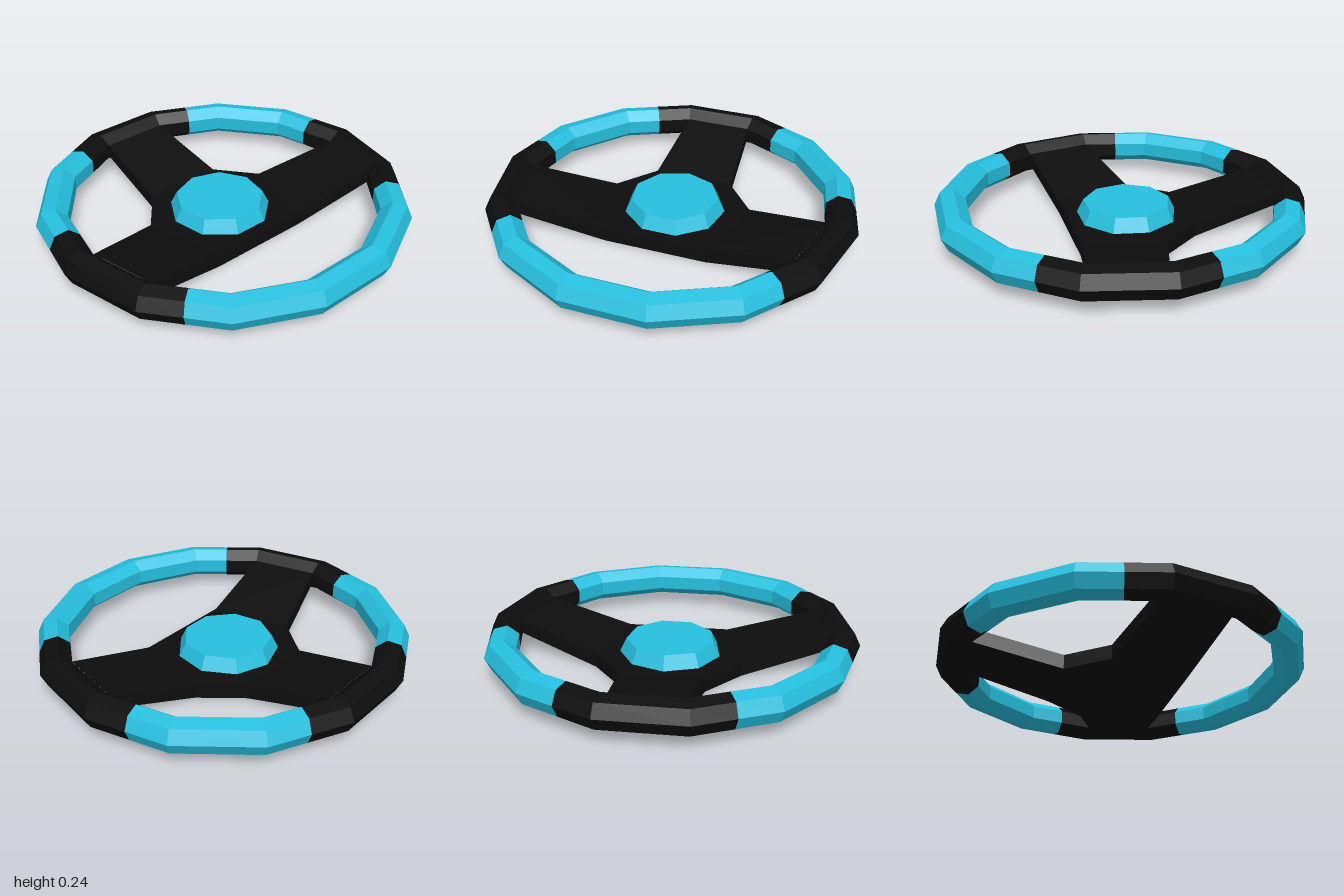
import * as THREE from 'three';

const black = new THREE.MeshStandardMaterial({ color: 0x0d0d0d, flatShading: true });
const teal = new THREE.MeshStandardMaterial({ color: 0x26bfde, flatShading: true });

const SIDES = 14, TUBE_SIDES = 7;
const RING_R = 0.9125, TUBE_R = 0.0875, RING_Y = 0.15;

// Mesh from convex faces, each a loop of points, counter-clockwise from outside
function facesMesh(name, faces, material) {
  const pos = [];
  for (const f of faces)
    for (let i = 1; i < f.length - 1; i++) pos.push(...f[0], ...f[i], ...f[i + 1]);
  const g = new THREE.BufferGeometry();
  g.setAttribute('position', new THREE.Float32BufferAttribute(pos, 3));
  g.computeVertexNormals();
  const mesh = new THREE.Mesh(g, material);
  mesh.name = name;
  return mesh;
}

// Point on the rim: s counts ring sides from +x towards +z, t counts tube sides
function rimPoint(s, t) {
  const a = s * 2 * Math.PI / SIDES, b = t * 2 * Math.PI / TUBE_SIDES;
  const flat = Number.isInteger(s) ? 1 : Math.cos(Math.PI / SIDES); // middle of a straight side
  const r = (RING_R + TUBE_R * Math.cos(b)) * flat;
  return [r * Math.cos(a), RING_Y + TUBE_R * Math.sin(b), r * Math.sin(a)];
}

// Part of the rim between two half-side positions
function rimSection(name, from, to, material) {
  const stations = [from];
  for (let s = Math.ceil(from); s < to; s++) stations.push(s);
  stations.push(to);
  const faces = [];
  for (let i = 0; i < stations.length - 1; i++)
    for (let t = 0; t < TUBE_SIDES; t++) {
      const p = stations[i], q = stations[i + 1];
      faces.push([rimPoint(p, t), rimPoint(p, t + 1), rimPoint(q, t + 1), rimPoint(q, t)]);
    }
  return facesMesh(name, faces, material);
}

// Three-armed plate whose arms rise from the low centre to the rim's inner face
function spokePlate() {
  const END = 0.112, THICK = 0.077;
  const half = [ // x, z, underside height
    [0.186, -0.813, END], [0.22, -0.35, 0], [0.39, -0.14, 0],
    [0.834, 0, END], [0.751, 0.362, END], [0.28, 0.29, 0],
  ];
  const outline = [...half, ...half.map(([x, z, y]) => [-x, z, y]).reverse()];
  const low = outline.map(([x, z, y]) => [x, y, z]);
  const high = outline.map(([x, z, y]) => [x, y + THICK, z]);
  const faces = [];
  // back arm, centre, left arm, right arm
  for (const loop of [[11, 0, 1, 10], [1, 2, 5, 6, 9, 10], [2, 3, 4, 5], [9, 6, 7, 8]]) {
    faces.push(loop.map(i => low[i]));
    faces.push(loop.map(i => high[i]).reverse());
  }
  // walls, left open where the arms meet the rim
  for (let i = 0; i < 12; i++) {
    if (i === 3 || i === 7 || i === 11) continue;
    faces.push([low[i], high[i], high[i + 1], low[i + 1]]);
  }
  return facesMesh('spokePlate', faces, black);
}

export function createModel() {
  const model = new THREE.Group();
  model.name = 'steeringWheel';

  // Rim: alternating grips and coloured inserts
  model.add(
    rimSection('leftGrip', -0.5, 1.5, black),
    rimSection('frontInsert', 1.5, 5.5, teal),
    rimSection('rightGrip', 5.5, 7.5, black),
    rimSection('backRightInsert', 7.5, 9.5, teal),
    rimSection('backGrip', 9.5, 11.5, black),
    rimSection('backLeftInsert', 11.5, 13.5, teal),
  );

  model.add(spokePlate());

  // Centre cap, one corner towards the back
  const cap = new THREE.Mesh(new THREE.CylinderGeometry(0.237, 0.273, 0.074, 9), teal);
  cap.name = 'centreCap';
  cap.rotation.y = Math.PI;
  cap.position.set(0, 0.114, -0.032);
  model.add(cap);

  return model;
}
